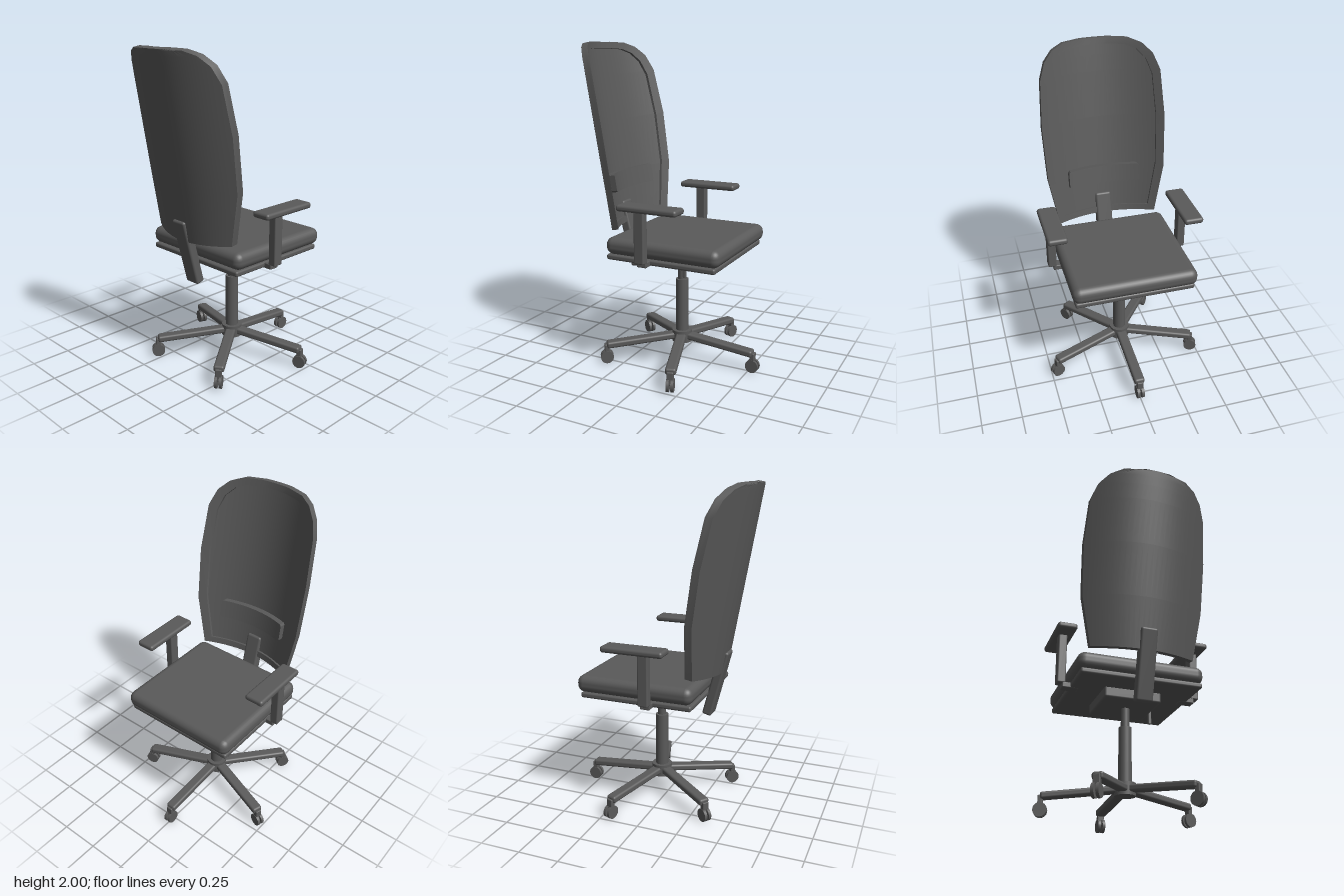
import * as THREE from 'three';
import { toCreasedNormals } from 'three/addons/utils/BufferGeometryUtils.js';
import { RoundedBoxGeometry } from 'three/addons/geometries/RoundedBoxGeometry.js';

const charcoal = new THREE.MeshStandardMaterial({ color: 0x5a5a5a });
charcoal.name = 'charcoal';

function add(parent, name, geometry, x = 0, y = 0, z = 0) {
  const mesh = new THREE.Mesh(geometry, charcoal);
  mesh.name = name;
  mesh.position.set(x, y, z);
  parent.add(mesh);
  return mesh;
}
const box = (w, h, d, r) => new RoundedBoxGeometry(w, h, d, 3, r);
const cyl = (r, h, n = 28) => new THREE.CylinderGeometry(r, r, h, n);

// Plan curvature of the backrest: the sides wrap forward
const wrap = (x) => 0.97 * x * x;

// Backrest outline: [half width, height along the back]
const OUTLINE = [
  [0.318, 0], [0.378, 0.317], [0.39, 0.65], [0.373, 0.937],
  [0.336, 1.037], [0.278, 1.098], [0.204, 1.13], [0.087, 1.14],
];

// Slab following the wrap, between depths w0 (rear) and w1 (front)
function curvedSlab(rows, w0, w1) {
  const last = rows.length - 1;
  const geo = new THREE.BoxGeometry(2, 1, 1, 24, last, 1);
  const p = geo.attributes.position;
  for (let i = 0; i < p.count; i++) {
    const [half, v] = rows[Math.round((p.getY(i) + 0.5) * last)];
    const x = p.getX(i) * half;
    p.setXYZ(i, x, v, wrap(x) + (p.getZ(i) > 0 ? w1 : w0));
  }
  return toCreasedNormals(geo, 0.6);
}

// Raised border running around the front of the backrest
function curvedRim(w0, w1) {
  const loop = [];
  for (let i = 0; i < 16; i++) loop.push([0.318 * (i / 8 - 1), 0]);
  OUTLINE.forEach(([x, v]) => loop.push([x, v]));
  for (let i = 1; i < 4; i++) loop.push([0.087 * (1 - i / 2), 1.14]);
  for (let i = OUTLINE.length - 1; i > 0; i--) loop.push([-OUTLINE[i][0], OUTLINE[i][1]]);
  const positions = [], index = [], n = loop.length;
  for (const [x, v] of loop) {
    const xi = x * 0.885, vi = 0.57 + (v - 0.57) * 0.93;
    positions.push(x, v, wrap(x) + w0, x, v, wrap(x) + w1);
    positions.push(xi, vi, wrap(xi) + w1, xi, vi, wrap(xi) + w0);
  }
  for (let k = 0; k < n; k++) {
    for (let s = 0; s < 3; s++) {
      const a = k * 4 + s, b = ((k + 1) % n) * 4 + s;
      index.push(a, b, b + 1, a, b + 1, a + 1);
    }
  }
  const geo = new THREE.BufferGeometry();
  geo.setAttribute('position', new THREE.Float32BufferAttribute(positions, 3));
  geo.setIndex(index);
  return toCreasedNormals(geo, 0.6);
}

export function createModel() {
  const chair = new THREE.Group();
  chair.name = 'officeChair';
  const axisZ = -0.043;

  // Seat, its base plate and the tilt mechanism
  add(chair, 'seatCushion', box(0.77, 0.105, 0.74, 0.045), 0, 0.802, -0.08);
  add(chair, 'seatPlate', box(0.74, 0.034, 0.71, 0.012), 0, 0.732, -0.07);
  add(chair, 'mechanism', box(0.35, 0.07, 0.335, 0.012), -0.005, 0.69, axisZ);
  add(chair, 'heightLever', box(0.02, 0.1, 0.02, 0.004), 0.2, 0.668, -0.155);

  // Reclined backrest, opening towards -z
  const back = new THREE.Group();
  back.name = 'backrest';
  back.position.set(0, 0.87, 0.37);
  back.rotation.set(-0.175, Math.PI, 0, 'YXZ');
  chair.add(back);
  add(back, 'backShell', curvedSlab(OUTLINE, 0, 0.03));
  add(back, 'backRim', curvedRim(0.03, 0.045));
  add(back, 'lumbarPad', curvedSlab(
    [[0.222, 0.215], [0.232, 0.225], [0.232, 0.32], [0.222, 0.33]], 0.025, 0.073));

  // Slanted bar joining the seat and backrest
  add(chair, 'backSupport', box(0.104, 0.43, 0.06, 0.014), 0, 0.795, 0.325).rotation.x = -0.255 + 0.51;

  // Armrests
  for (const s of [-1, 1]) {
    const arm = new THREE.Group();
    arm.name = s > 0 ? 'leftArmrest' : 'rightArmrest';
    chair.add(arm);
    add(arm, 'armBracket', box(0.1, 0.034, 0.062, 0.006), s * 0.368, 0.729, 0.018);
    add(arm, 'armPost', box(0.052, 0.325, 0.064, 0.008), s * 0.424, 0.902, 0.018);
    add(arm, 'armPad', box(0.12, 0.038, 0.386, 0.016), s * 0.42, 1.067, -0.042);
  }

  // Gas column and hub
  add(chair, 'columnRod', cyl(0.026, 0.14), 0, 0.595, axisZ);
  add(chair, 'columnSleeve', cyl(0.04, 0.36), 0, 0.355, axisZ);
  add(chair, 'hub', cyl(0.064, 0.076), 0, 0.158, axisZ);

  // Five legs with twin-wheel casters
  for (let k = 0; k < 5; k++) {
    const leg = new THREE.Group();
    leg.name = 'starLeg' + (k + 1);
    leg.position.z = axisZ;
    leg.rotation.y = (k * Math.PI * 2) / 5;
    chair.add(leg);
    add(leg, 'legBeam', box(0.066, 0.042, 0.485, 0.014), 0, 0.142, -0.245).rotation.x = 0.09 - 0.18;
    add(leg, 'casterStem', box(0.04, 0.08, 0.03, 0.005), 0, 0.085, -0.485);
    for (const s of [-1, 1]) {
      add(leg, 'casterWheel', cyl(0.041, 0.017, 24), s * 0.014, 0.041, -0.485).rotation.z = Math.PI / 2;
    }
  }
  return chair;
}
